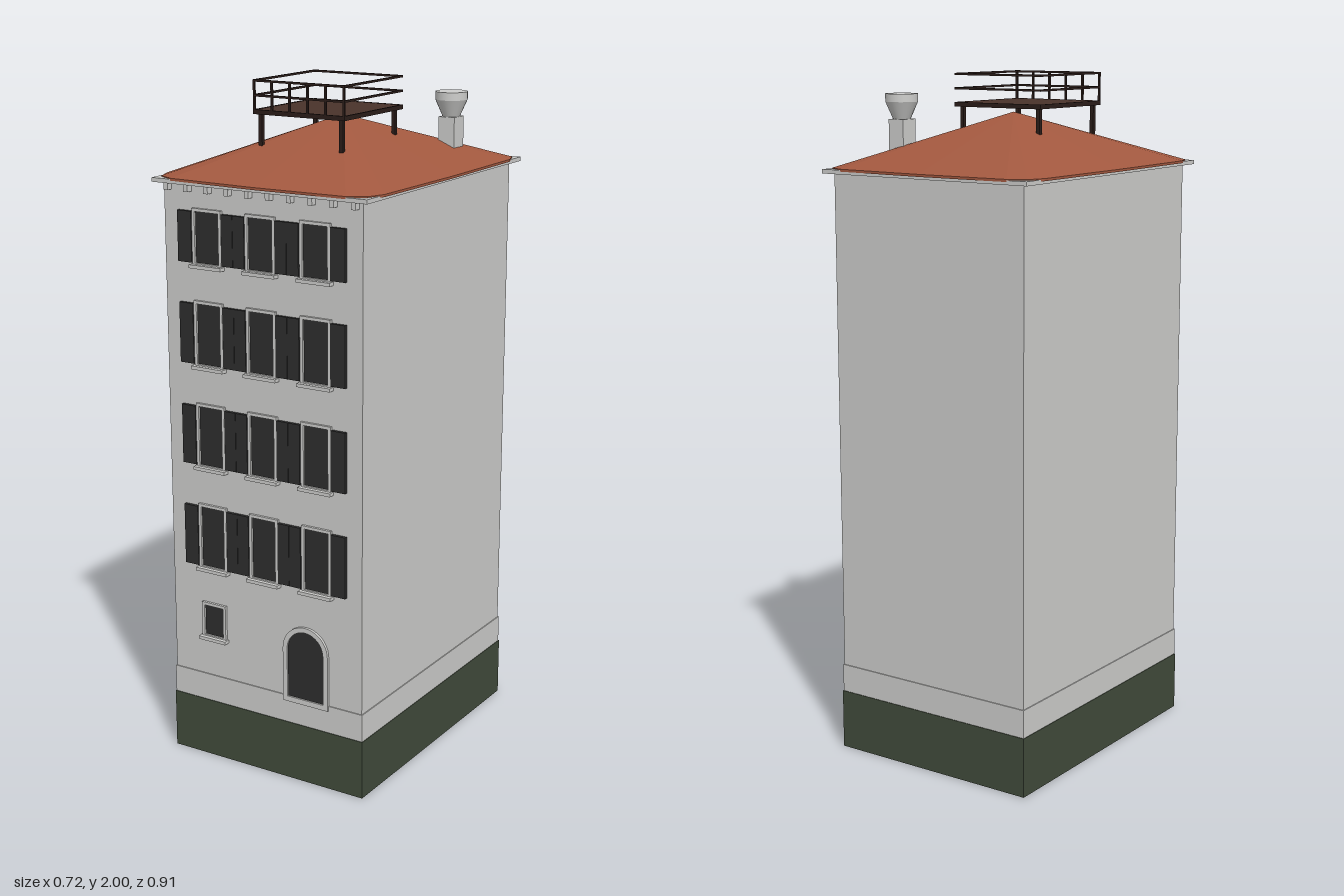
import * as THREE from 'three';

const mat = (name, color, extra = {}) => {
  const m = new THREE.MeshStandardMaterial({ color, ...extra });
  m.name = name;
  return m;
};

export function createModel() {
  const root = new THREE.Group();
  root.name = 'towerHouse';
  const plaster = mat('plaster', 0xcececc);
  const green = mat('greenBase', 0x414b3b);
  const tile = mat('roofTile', 0xa2583f);
  const dark = mat('darkShutter', 0x2d2d2d);
  const deck = mat('deckWood', 0x4a332b);
  const rail = mat('railWood', 0x2b1d19);

  const add = (name, geo, material, parent = root) => {
    const m = new THREE.Mesh(geo, material);
    m.name = name;
    parent.add(m);
    return m;
  };
  // Box given by its min and max on each axis
  const box = (name, x0, x1, y0, y1, z0, z1, material, parent) => {
    const m = add(name, new THREE.BoxGeometry(x1 - x0, y1 - y0, z1 - z0), material, parent);
    m.position.set((x0 + x1) / 2, (y0 + y1) / 2, (z0 + z1) / 2);
    return m;
  };
  const group = (name) => {
    const g = new THREE.Group();
    g.name = name;
    root.add(g);
    return g;
  };
  const WALL = 0.421;

  // Body
  box('base', -0.33, 0.33, 0, 0.177, -0.426, 0.426, green);
  box('plinth', -0.328, 0.328, 0.177, 0.26, -0.424, 0.424, plaster);
  box('walls', -0.325, 0.325, 0.26, 1.728, -WALL, WALL, plaster);
  box('eaves', -0.35, 0.35, 1.726, 1.738, -0.445, 0.445, plaster);

  // Small brackets under the front eaves
  const brackets = group('eaveBrackets');
  for (let i = 0; i < 10; i++) {
    const x = -0.306 + i * 0.068;
    box('bracket', x - 0.007, x + 0.007, 1.706, 1.728, WALL, 0.44, plaster, brackets);
  }

  // Hipped roof with clipped corners
  const quarter = [[0.361, 0], [0.355, 0.365], [0.335, 0.418], [0.285, 0.445], [0, 0.454]];
  const rim = [
    ...quarter,
    ...quarter.slice(0, 4).reverse().map(([x, z]) => [-x, z]),
    ...quarter.slice(1).map(([x, z]) => [-x, -z]),
    ...quarter.slice(1, 4).reverse().map(([x, z]) => [x, -z]),
  ];
  const roofPos = [];
  rim.forEach(([x, z], i) => {
    const [u, w] = rim[(i + 1) % rim.length];
    const yt = 1.741, yb = 1.734;
    roofPos.push(0, 1.89, 0, u, yt, w, x, yt, z); // slope
    roofPos.push(x, yt, z, u, yt, w, u, yb, w, x, yt, z, u, yb, w, x, yb, z); // edge
    roofPos.push(0, yb, 0, x, yb, z, u, yb, w); // underside
  });
  const roofGeo = new THREE.BufferGeometry();
  roofGeo.setAttribute('position', new THREE.Float32BufferAttribute(roofPos, 3));
  roofGeo.computeVertexNormals();
  add('roof', roofGeo, tile);

  // Framed window with a sill
  const rect = (C, x0, x1, y0, y1) => new C([
    new THREE.Vector2(x0, y0), new THREE.Vector2(x1, y0),
    new THREE.Vector2(x1, y1), new THREE.Vector2(x0, y1)]);
  const frameOf = (shape, hole, parent) => {
    shape.holes.push(hole);
    const geo = new THREE.ExtrudeGeometry(shape, { depth: 0.008, bevelEnabled: false, curveSegments: 10 });
    add('frame', geo, plaster, parent).position.z = WALL;
  };
  const addWindow = (x0, x1, y0, y1, parent) => {
    const f = 0.009, c = (x0 + x1) / 2, s = (x1 - x0) / 2 + 0.014;
    frameOf(rect(THREE.Shape, x0 - f, x1 + f, y0 - f, y1 + f), rect(THREE.Path, x0, x1, y0, y1), parent);
    box('pane', x0, x1, y0, y1, WALL - 0.002, WALL + 0.002, dark, parent);
    box('sill', c - s, c + s, y0 - 0.014, y0 - 0.004, WALL, 0.441, plaster, parent);
  };

  // Four storeys of three windows with shutters between
  const shutters = [[-0.275, -0.228], [-0.127, -0.089], [-0.088, -0.05], [0.05, 0.088], [0.089, 0.127], [0.228, 0.275]];
  [[0.605, 0.787], [0.915, 1.09], [1.215, 1.39], [1.507, 1.652]].forEach(([y0, y1], i) => {
    const storey = group('storey' + (i + 1));
    [-0.178, 0, 0.178].forEach((x) => addWindow(x - 0.04, x + 0.04, y0, y1, storey));
    shutters.forEach(([a, b]) => box('shutter', a, b, y0, y1, WALL - 0.001, 0.431, dark, storey));
  });

  // Small ground-floor window
  addWindow(-0.213, -0.147, 0.389, 0.482, group('smallWindow'));

  // Arched door
  const arch = (C, r, y0) => {
    const p = new C();
    p.moveTo(0.139 - r, y0);
    p.lineTo(0.139 + r, y0);
    p.lineTo(0.139 + r, 0.41);
    p.absarc(0.139, 0.41, r, 0, Math.PI, false);
    p.closePath();
    return p;
  };
  const door = group('door');
  frameOf(arch(THREE.Shape, 0.076, 0.245), arch(THREE.Path, 0.061, 0.261), door);
  add('doorLeaf', new THREE.ExtrudeGeometry(arch(THREE.Shape, 0.061, 0.261),
    { depth: 0.003, bevelEnabled: false, curveSegments: 10 }), dark, door).position.z = WALL;

  // Chimney with flared pot
  const chimney = group('chimney');
  box('shaft', 0.199, 0.251, 1.76, 1.873, -0.265, -0.208, plaster, chimney);
  const pot = [[0, 1.87], [0.024, 1.87], [0.047, 1.922], [0.047, 1.945], [0, 1.945]]
    .map(([r, y]) => new THREE.Vector2(r, y));
  // Separate lathes keep the rims sharp
  for (let i = 0; i < pot.length - 1; i++) {
    add('pot', new THREE.LatheGeometry([pot[i], pot[i + 1]], 24), plaster, chimney).position.set(0.225, 0, -0.237);
  }

  // Roof terrace
  const terrace = group('terrace');
  const Z0 = -0.085, Z1 = 0.233, X = 0.15, t = 0.006;
  box('deck', -X + t, X - t, 1.906, 1.916, Z0 + t, Z1 - t, deck, terrace);
  for (const s of [-1, 1]) {
    for (const z of [-0.066, 0.217]) {
      const x = s * 0.133;
      box('leg', x - 0.006, x + 0.006, z > 0 ? 1.815 : 1.83, 1.907, z - 0.006, z + 0.006, rail, terrace);
    }
  }
  // Deck edging and two rails on all four sides
  for (const [y0, y1] of [[1.904, 1.917], [1.953, 1.959], [1.994, 2.0]]) {
    for (const z of [Z0, Z1 - t]) box('rail', -X, X, y0, y1, z, z + t, rail, terrace);
    for (const x of [-X, X - t]) box('rail', x, x + t, y0, y1, Z0 + t, Z1 - t, rail, terrace);
  }
  // Front balusters
  for (let i = 0; i < 6; i++) {
    const x = -0.147 + i * 0.0588;
    box('baluster', x - 0.003, x + 0.003, 1.916, 1.995, Z1 - t, Z1, rail, terrace);
  }
  return root;
}
